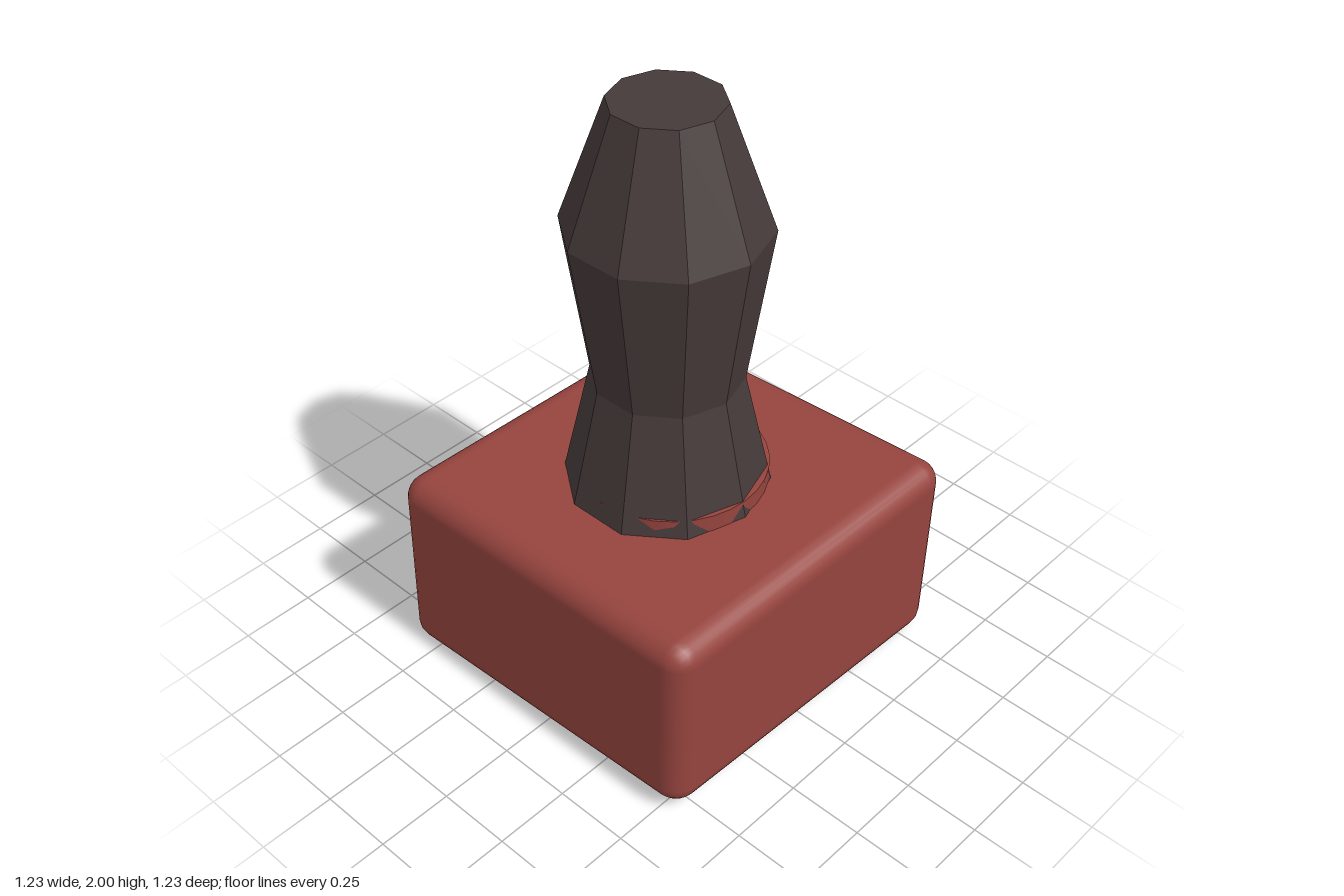
import * as THREE from 'three';
import { RoundedBoxGeometry } from 'three/addons/geometries/RoundedBoxGeometry.js';

// Eight corners of the slightly uneven block, indexed by the signs of x, y and z
const corner = {
  '-1,-1,-1': [-0.595, 0.03, -0.58], '1,-1,-1': [0.605, 0.0, -0.61],
  '-1,-1,1': [-0.615, 0.0, 0.615], '1,-1,1': [0.58, 0.03, 0.59],
  '-1,1,-1': [-0.59, 0.675, -0.585], '1,1,-1': [0.615, 0.703, -0.62],
  '-1,1,1': [-0.608, 0.682, 0.608], '1,1,1': [0.585, 0.677, 0.585],
};

// Rounded box blended between the eight corners
function unevenBlock() {
  const w = 1.2, h = 0.68;
  const geo = new RoundedBoxGeometry(w, h, w, 3, 0.075);
  const pos = geo.attributes.position;
  for (let i = 0; i < pos.count; i++) {
    const u = [pos.getX(i) / (w / 2), pos.getY(i) / (h / 2), pos.getZ(i) / (w / 2)];
    const p = [0, 0, 0];
    for (const key in corner) {
      const s = key.split(',').map(Number);
      const weight = s.reduce((k, sign, a) => k * (1 + sign * u[a]) / 2, 1);
      corner[key].forEach((c, a) => { p[a] += c * weight; });
    }
    pos.setXYZ(i, ...p);
  }
  return geo;
}

export function createModel() {
  const red = new THREE.MeshStandardMaterial({ color: 0x96443e });
  red.name = 'brick red';
  const dark = new THREE.MeshStandardMaterial({ color: 0x463a3a, flatShading: true });
  dark.name = 'dark brown';

  const model = new THREE.Group();
  model.name = 'handStamp';
  const add = (name, geometry, material, x = 0, y = 0, z = 0) => {
    const mesh = new THREE.Mesh(geometry, material);
    mesh.name = name;
    mesh.position.set(x, y, z);
    model.add(mesh);
  };

  // Base block
  add('baseBlock', unevenBlock(), red);

  // Collar, mostly hidden inside the foot of the handle
  add('collar', new THREE.CylinderGeometry(0.307, 0.307, 0.12, 32), red, 0, 0.685, -0.002);

  // Ten-sided waisted handle, closed at both ends
  const profile = [[0, 0.66], [0.332, 0.66], [0.238, 1.08], [0.316, 1.605], [0.173, 2], [0, 2]];
  const handle = new THREE.LatheGeometry(
    profile.map(([r, y]) => new THREE.Vector2(r, y)), 10, Math.PI / 10);
  add('handle', handle, dark, -0.009, 0, 0.006);

  return model;
}
